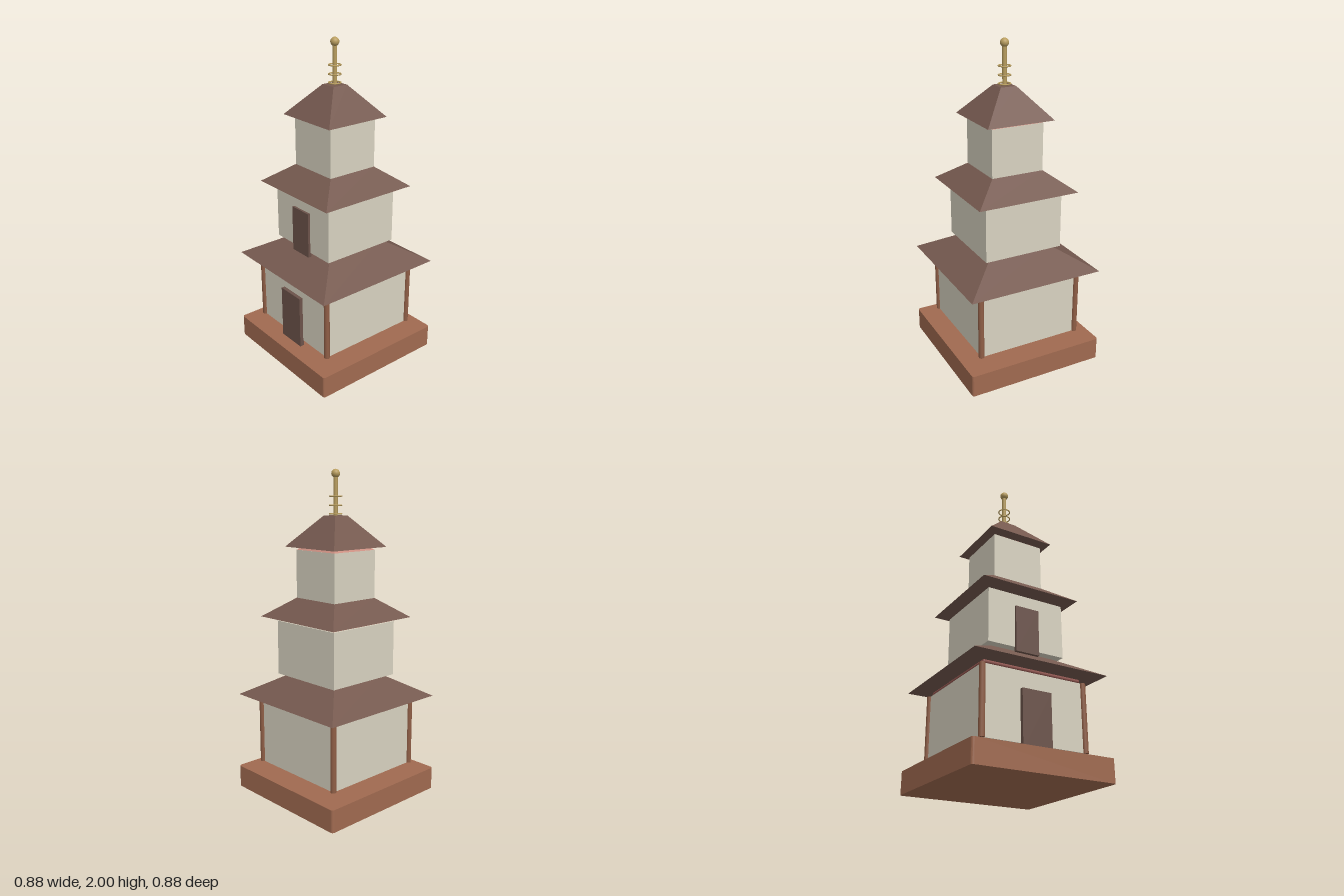
import * as THREE from 'three';
import { RoundedBoxGeometry } from 'three/addons/geometries/RoundedBoxGeometry.js';

const mat = (color, flatShading = false) => {
  const m = new THREE.MeshStandardMaterial({ color });
  m.flatShading = flatShading;
  return m;
};

export function createModel() {
  const group = new THREE.Group();
  const plaster = mat(0xd8d2c0), tile = mat(0x75594f, true), doorWood = mat(0x6c534a);
  const sienna = mat(0xa06a50), postWood = mat(0x8f5e46), beamRed = mat(0x8a504a);
  const trimPink = mat(0xc98d80, true), gold = mat(0xb89d5e);

  const add = (name, geometry, material, x = 0, y = 0, z = 0) => {
    const mesh = new THREE.Mesh(geometry, material);
    mesh.name = name;
    mesh.position.set(x, y, z);
    group.add(mesh);
    return mesh;
  };

  // Square block given by half width and its bottom and top heights
  const block = (name, half, y0, y1, material) =>
    add(name, new THREE.BoxGeometry(half * 2, y1 - y0, half * 2), material, 0, (y0 + y1) / 2, 0);

  // Square frustum given by half widths at its bottom and top
  const frustum = (name, bottom, top, y0, y1, material) => {
    const g = new THREE.CylinderGeometry(top * Math.SQRT2, bottom * Math.SQRT2, y1 - y0, 4);
    g.rotateY(Math.PI / 4);
    return add(name, g, material, 0, (y0 + y1) / 2, 0);
  };

  const door = (name, half, y0, y1, z0, z1) =>
    add(name, new THREE.BoxGeometry(half * 2, y1 - y0, z1 - z0), doorWood, 0, (y0 + y1) / 2, (z0 + z1) / 2);

  // Base slab with rounded vertical corners
  const h = 0.44, r = 0.015;
  const outline = new THREE.Shape();
  [[1, 1], [-1, 1], [-1, -1], [1, -1]].forEach(([sx, sy], i) =>
    outline.absarc(sx * (h - r), sy * (h - r), r, i * Math.PI / 2, (i + 1) * Math.PI / 2, false));
  const slab = new THREE.ExtrudeGeometry(outline, { depth: 0.138, bevelEnabled: false, curveSegments: 4 });
  slab.rotateX(-Math.PI / 2);
  add('base', slab, sienna);

  // Walls of the three storeys
  block('lowerWalls', 0.33, 0.175, 0.582, plaster);
  block('middleWalls', 0.252, 0.755, 1.092, plaster);
  block('upperWalls', 0.167, 1.235, 1.527, plaster);

  // Corner posts
  for (const sx of [-1, 1]) for (const sz of [-1, 1])
    add('cornerPost', new THREE.CylinderGeometry(0.0175, 0.0175, 0.407, 12), postWood,
      sx * 0.328, 0.3785, sz * 0.328);

  // Trim under each roof
  add('lowerBeam', new RoundedBoxGeometry(0.64, 0.026, 0.64, 3, 0.0125), beamRed, 0, 0.598, 0);
  frustum('middleTrim', 0.238, 0.222, 1.092, 1.108, trimPink);
  frustum('upperTrim', 0.166, 0.15, 1.527, 1.54, trimPink);

  // Roofs
  frustum('lowerRoof', 0.43, 0.2, 0.618, 0.755, tile);
  frustum('middleRoof', 0.324, 0.165, 1.118, 1.237, tile);
  frustum('upperRoof', 0.215, 0.05, 1.545, 1.73, tile);

  // Doors
  door('lowerDoor', 0.093, 0.138, 0.477, 0.325, 0.353);
  door('middleDoor', 0.077, 0.727, 1.012, 0.245, 0.267);

  // Finial: pole, rings and ball
  add('finialPole', new THREE.CylinderGeometry(0.013, 0.013, 0.23, 12), gold, 0, 1.845, 0);
  for (const y of [1.74, 1.79, 1.843]) {
    const ring = new THREE.TorusGeometry(0.036, 0.004, 8, 24);
    ring.rotateX(Math.PI / 2);
    add('finialRing', ring, gold, 0, y, 0);
  }
  add('finialBall', new THREE.SphereGeometry(0.026, 20, 14), gold, 0, 1.974, 0);

  return group;
}
